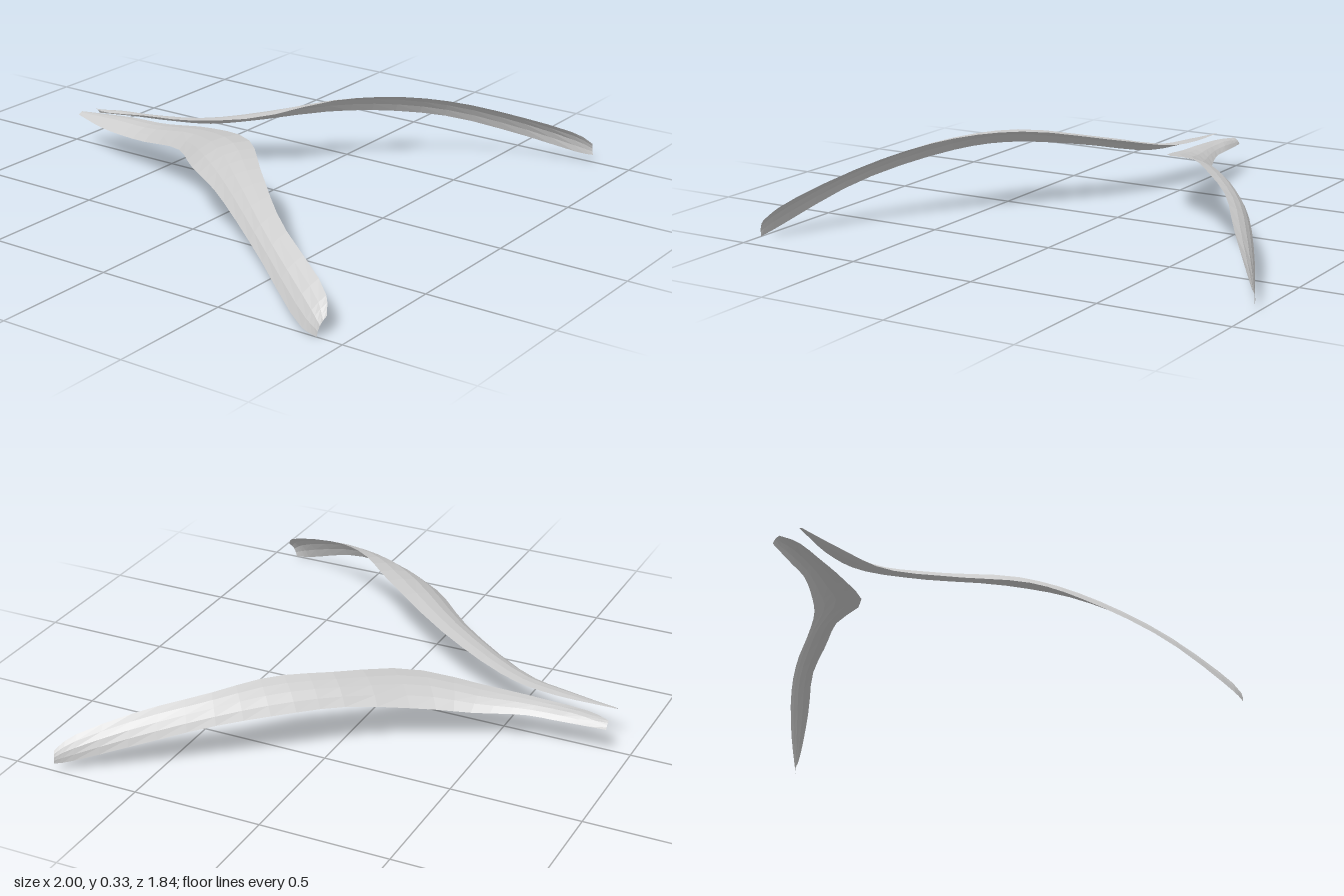
import * as THREE from 'three';

const SEGMENTS = 26;
const ACROSS = 4;

// Smooth curve through one long edge of a strip
const edgeCurve = (points) =>
  new THREE.CatmullRomCurve3(points.map((p) => new THREE.Vector3(...p)), false, 'centripetal');

// Lofts a thin, slightly arched strip between its lower and upper edge
function archedStrip(name, stations, material) {
  const lower = edgeCurve(stations.map((s) => s[0]));
  const upper = edgeCurve(stations.map((s) => s[1]));
  const positions = [];
  const indices = [];
  for (let i = 0; i <= SEGMENTS; i++) {
    const t = i / SEGMENTS;
    const a = lower.getPoint(t);
    const b = upper.getPoint(t);
    const width = b.clone().sub(a);
    const along = lower.getTangent(t).add(upper.getTangent(t));
    const normal = along.cross(width).normalize();
    if (normal.y < 0) normal.negate();
    for (let j = 0; j <= ACROSS; j++) {
      const u = j / ACROSS;
      const bulge = 0.12 * width.length() * Math.sin(Math.PI * u);
      const p = a.clone().addScaledVector(width, u).addScaledVector(normal, bulge);
      positions.push(p.x, p.y, p.z);
    }
  }
  const row = ACROSS + 1;
  for (let i = 0; i < SEGMENTS; i++) {
    for (let j = 0; j < ACROSS; j++) {
      const k = i * row + j;
      indices.push(k, k + row, k + 1, k + 1, k + row, k + row + 1);
    }
  }
  const geometry = new THREE.BufferGeometry();
  geometry.setAttribute('position', new THREE.Float32BufferAttribute(positions, 3));
  geometry.setIndex(indices);
  geometry.computeVertexNormals();
  const mesh = new THREE.Mesh(geometry, material);
  mesh.name = name;
  return mesh;
}

export function createModel() {
  const group = new THREE.Group();
  group.name = 'archedStrips';
  const grey = new THREE.MeshStandardMaterial({
    name: 'lightGrey', color: 0xcccccc, flatShading: true, side: THREE.DoubleSide,
  });

  // Each station, back to front: lower outer edge, upper inner edge
  const rightStations = [
    [[-0.07, 0.14, -0.92], [-0.05, 0.15, -0.92]],
    [[-0.12, 0.13, -0.75], [-0.025, 0.165, -0.68]],
    [[-0.17, 0.14, -0.53], [-0.045, 0.18, -0.5]],
    [[-0.31, 0.21, -0.22], [-0.14, 0.25, -0.2]],
    [[-0.5, 0.24, 0], [-0.34, 0.325, 0.14]],
    [[-0.63, 0.23, 0.21], [-0.54, 0.31, 0.34]],
    [[-0.83, 0.15, 0.53], [-0.74, 0.24, 0.57]],
    [[-0.99, 0.015, 0.83], [-0.92, 0.12, 0.88]],
    [[-1, 0, 0.9], [-0.97, 0.07, 0.92]],
  ];
  const leftStations = [
    [[0.055, 0.115, -0.92], [0.03, 0.14, -0.92]],
    [[0.085, 0.125, -0.75], [0.005, 0.145, -0.85]],
    [[0.105, 0.13, -0.62], [0.02, 0.165, -0.65]],
    [[0.17, 0.13, -0.45], [0.04, 0.18, -0.45]],
    [[0.25, 0.15, -0.3], [0.12, 0.225, -0.17]],
    [[0.43, 0.19, -0.05], [0.35, 0.275, 0.04]],
    [[0.58, 0.19, 0.13], [0.5, 0.285, 0.22]],
    [[0.73, 0.165, 0.34], [0.66, 0.255, 0.39]],
    [[0.87, 0.1, 0.58], [0.8, 0.2, 0.6]],
    [[0.98, 0.035, 0.8], [0.95, 0.12, 0.8]],
    [[1, 0.03, 0.84], [0.99, 0.08, 0.84]],
  ];
  group.add(archedStrip('rightStrip', rightStations, grey));
  group.add(archedStrip('leftStrip', leftStations, grey));
  return group;
}
